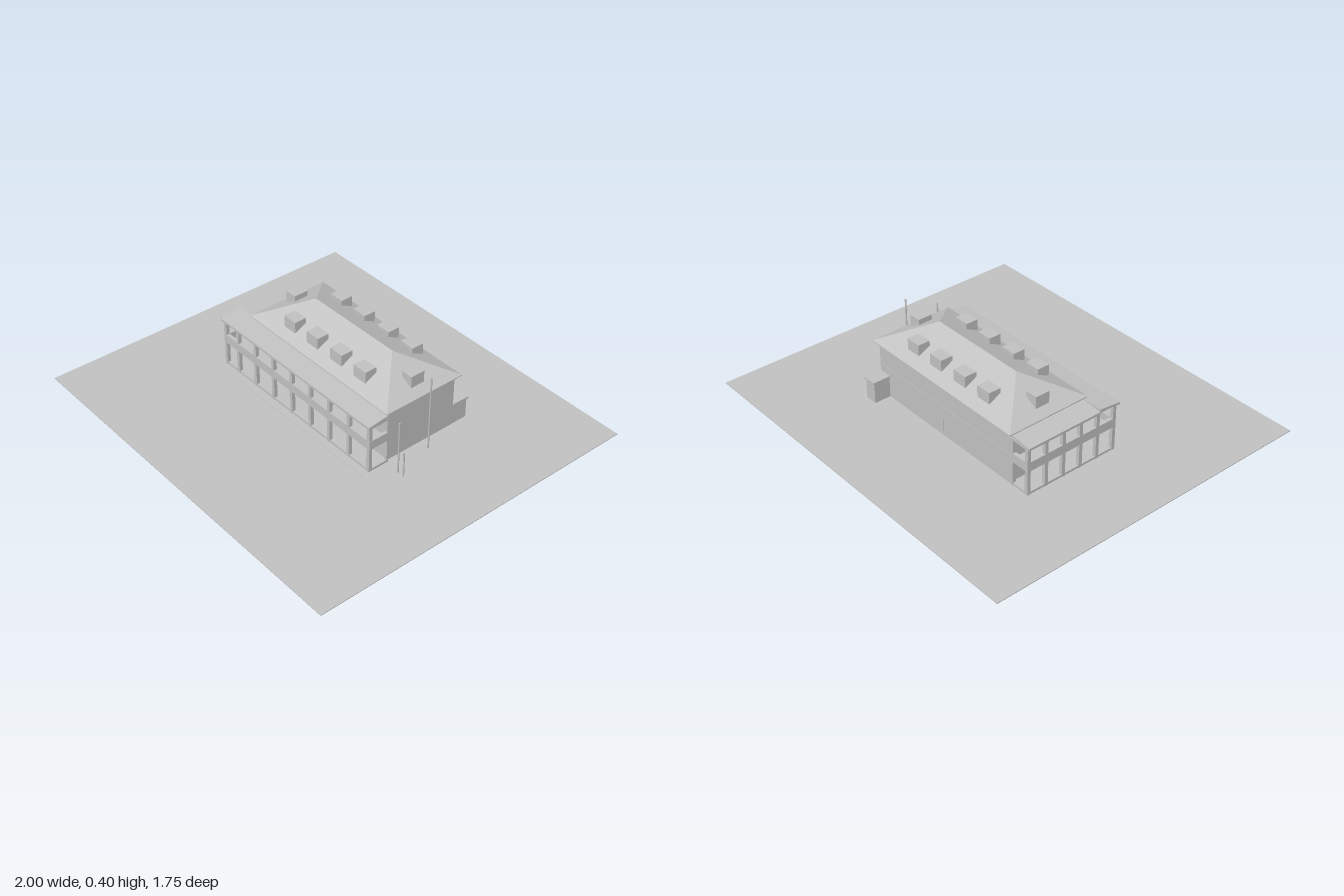
import * as THREE from 'three';
import { ConvexGeometry } from 'three/addons/geometries/ConvexGeometry.js';

export function createModel() {
  const model = new THREE.Group();
  model.name = 'verandaBuilding';
  const grey = new THREE.MeshStandardMaterial({ name: 'plain grey', color: 0xc0c0c0 });

  const add = (name, geometry, parent = model) => {
    const mesh = new THREE.Mesh(geometry, grey);
    mesh.name = name;
    parent.add(mesh);
    return mesh;
  };
  // Box given by its limits on each axis
  const box = (name, x0, x1, y0, y1, z0, z1, parent) => {
    const mesh = add(name, new THREE.BoxGeometry(x1 - x0, y1 - y0, z1 - z0), parent);
    mesh.position.set((x0 + x1) / 2, (y0 + y1) / 2, (z0 + z1) / 2);
    return mesh;
  };
  // Closed flat-faced solid around a few corner points
  const solid = (name, points, parent) =>
    add(name, new ConvexGeometry(points.map((p) => new THREE.Vector3(...p))), parent);
  // Sloping slab: top corners, thickened downwards
  const slab = (name, corners, t, parent) =>
    solid(name, [...corners, ...corners.map(([x, y, z]) => [x, y - t, z])], parent);

  // Ground and main block
  box('ground', -1, 1, 0, 0.004, -0.875, 0.875);
  box('mainWalls', -0.47, 0.465, 0.004, 0.285, -0.345, 0.06);

  // Hipped roof
  solid('hippedRoof', [
    [-0.49, 0.281, 0.078], [0.485, 0.281, 0.078], [0.485, 0.281, -0.37], [-0.49, 0.281, -0.37],
    [-0.49, 0.286, 0.078], [0.485, 0.286, 0.078], [0.485, 0.286, -0.37], [-0.49, 0.286, -0.37],
    [-0.27, 0.402, -0.145], [0.265, 0.402, -0.145],
  ]);

  // Flat-topped dormers on all four slopes
  const dormers = new THREE.Group();
  dormers.name = 'dormers';
  model.add(dormers);
  for (const x of [-0.25, -0.087, 0.08, 0.243]) {
    box('frontDormer', x - 0.04, x + 0.04, 0.31, 0.372, -0.036, 0.028, dormers);
    box('backDormer', x - 0.04, x + 0.04, 0.31, 0.372, -0.316, -0.252, dormers);
  }
  box('rightDormer', -0.442, -0.38, 0.31, 0.372, -0.182, -0.106, dormers);
  box('leftDormer', 0.374, 0.436, 0.31, 0.372, -0.182, -0.106, dormers);

  // Two-storey veranda along the front and one end
  const veranda = new THREE.Group();
  veranda.name = 'veranda';
  model.add(veranda);
  const W = -0.578, E = 0.478, S = 0.17, N = -0.347, t = 0.018;
  for (const [name, y0, y1] of [['groundFloor', 0.004, 0.016], ['upperFloor', 0.13, 0.14]]) {
    box(name + 'Front', W + 0.002, E - 0.002, y0, y1, 0.06, S - 0.002, veranda);
    box(name + 'Side', W + 0.002, -0.47, y0, y1, N + 0.002, 0.06, veranda);
  }

  // Parapets and top beams on every open edge
  for (const [name, y0, y1] of [['parapet', 0.13, 0.176], ['topBeam', 0.244, 0.256]]) {
    box(name, W, E, y0, y1, S - t, S, veranda);
    box(name, W, W + t, y0, y1, N, S - t, veranda);
    box(name, E - t, E, y0, y1, 0.06, S - t, veranda);
    box(name, W + t, -0.47, y0, y1, N, N + t, veranda);
  }

  // Posts
  const post = (x, z) => box('post', x, x + t, 0.004, 0.252, z, z + t, veranda);
  post(W, S - t);
  for (let i = 0; i < 8; i++) post(-0.482 + i * 0.1344, S - t);
  for (let i = 0; i < 5; i++) post(W, N + i * 0.1);
  post(-0.482, N);
  box('wallPost', E - t, E, 0.004, 0.252, 0.058, 0.066, veranda);

  // Lean-to roofs
  slab('frontLeanToRoof', [
    [-0.59, 0.262, 0.178], [0.482, 0.262, 0.178], [0.482, 0.276, 0.06], [-0.59, 0.276, 0.06],
  ], 0.012, veranda);
  slab('sideLeanToRoof', [
    [-0.59, 0.262, 0.06], [-0.47, 0.276, 0.06], [-0.47, 0.276, -0.35], [-0.59, 0.262, -0.35],
  ], 0.012, veranda);

  // Small back porch with a cap
  box('backPorch', 0.4, 0.464, 0.004, 0.112, -0.432, -0.345);
  box('backPorchRoof', 0.394, 0.47, 0.112, 0.121, -0.44, -0.345);

  // Fine trim on the back wall and kerb before the veranda
  box('backTrim', -0.47, 0.465, 0.159, 0.161, -0.347, -0.345);
  box('drainPipe', -0.002, 0.002, 0.03, 0.09, -0.348, -0.345);
  box('kerb', -0.5, 0.48, 0.004, 0.006, 0.207, 0.21);

  // Free-standing poles
  for (const [x, z, h] of [[0.521, -0.145, 0.402], [0.558, 0.07, 0.28], [0.593, 0.07, 0.138]]) {
    const pole = add('pole', new THREE.CylinderGeometry(0.004, 0.004, h, 8));
    pole.position.set(x, h / 2, z);
  }

  return model;
}
